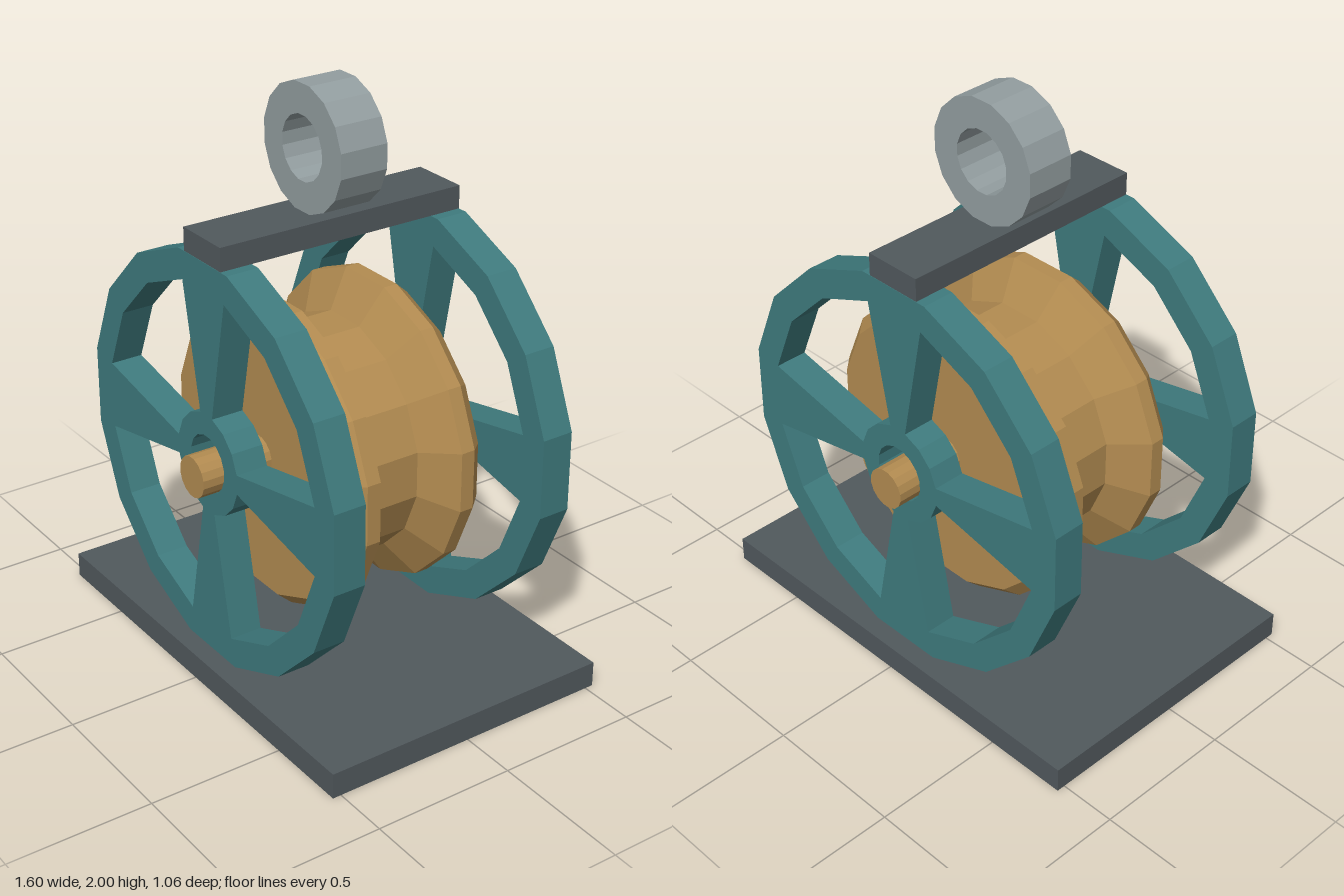
import * as THREE from 'three';

const SIDES = 16;
const HALF = Math.PI / SIDES; // half a facet, so flats face the axes
const WHEEL_Y = 0.795, PULLEY_Y = 0.765, RING_Y = 1.79;

const material = (color) => new THREE.MeshStandardMaterial({ color, flatShading: true });

// Corners of a regular polygon between two corner indices
function arc(radius, from, to) {
  const points = [];
  for (let i = from; i <= to; i++) {
    const a = HALF + i * 2 * HALF;
    points.push(new THREE.Vector2(radius * Math.cos(a), radius * Math.sin(a)));
  }
  return points;
}
const polygon = (radius) => arc(radius, 0, SIDES - 1);

// Flat plate with holes, centred on z = 0
function plate(outline, holes, depth) {
  const shape = new THREE.Shape(outline);
  holes.forEach((h) => shape.holes.push(new THREE.Path(h)));
  return new THREE.ExtrudeGeometry(shape, { depth, bevelEnabled: false }).translate(0, 0, -depth / 2);
}

export function createModel() {
  const group = new THREE.Group();
  const teal = material(0x3f7b7e);
  const wood = material(0xb38c51);
  const iron = material(0x51595d);
  const steel = material(0x939ea0);

  const add = (name, geometry, mat, y, z = 0) => {
    const mesh = new THREE.Mesh(geometry, mat);
    mesh.name = name;
    mesh.position.set(0, y, z);
    group.add(mesh);
  };

  // Base plate and the bar joining the two side frames
  add('base', new THREE.BoxGeometry(1.6, 0.09, 1.06), iron, 0.045);
  add('topBar', new THREE.BoxGeometry(0.21, 0.08, 0.92), iron, 1.54);

  // Lifting ring
  add('liftingRing', plate(polygon(0.214), [polygon(0.11)], 0.174), steel, RING_Y);

  // Spoked side frames: four windows leave four tapered spokes and a hub
  const holes = [polygon(0.1)];
  for (let q = 0; q < 4; q++) {
    holes.push([...arc(0.615, q * 4, q * 4 + 3), ...arc(0.177, q * 4, q * 4 + 3).reverse()]);
  }
  const frame = plate(polygon(0.718), holes, 0.115);
  add('frontFrame', frame, teal, WHEEL_Y, 0.403);
  add('backFrame', frame, teal, WHEEL_Y, -0.403);

  // Grooved pulley, turned about z
  const half = [[0, 0.26], [0.495, 0.26], [0.54, 0.21], [0.54, 0.16], [0.41, 0.08]];
  const profile = [
    ...half.map(([r, h]) => new THREE.Vector2(r, -h)),
    ...half.reverse().map(([r, h]) => new THREE.Vector2(r, h)),
  ];
  const pulley = new THREE.LatheGeometry(profile, SIDES, HALF).rotateX(Math.PI / 2);
  add('pulley', pulley, wood, PULLEY_Y);

  // Axle resting in the hub holes
  const axle = new THREE.CylinderGeometry(0.072, 0.072, 1.04, SIDES, 1, false, HALF).rotateX(Math.PI / 2);
  add('axle', axle, wood, PULLEY_Y);

  return group;
}
